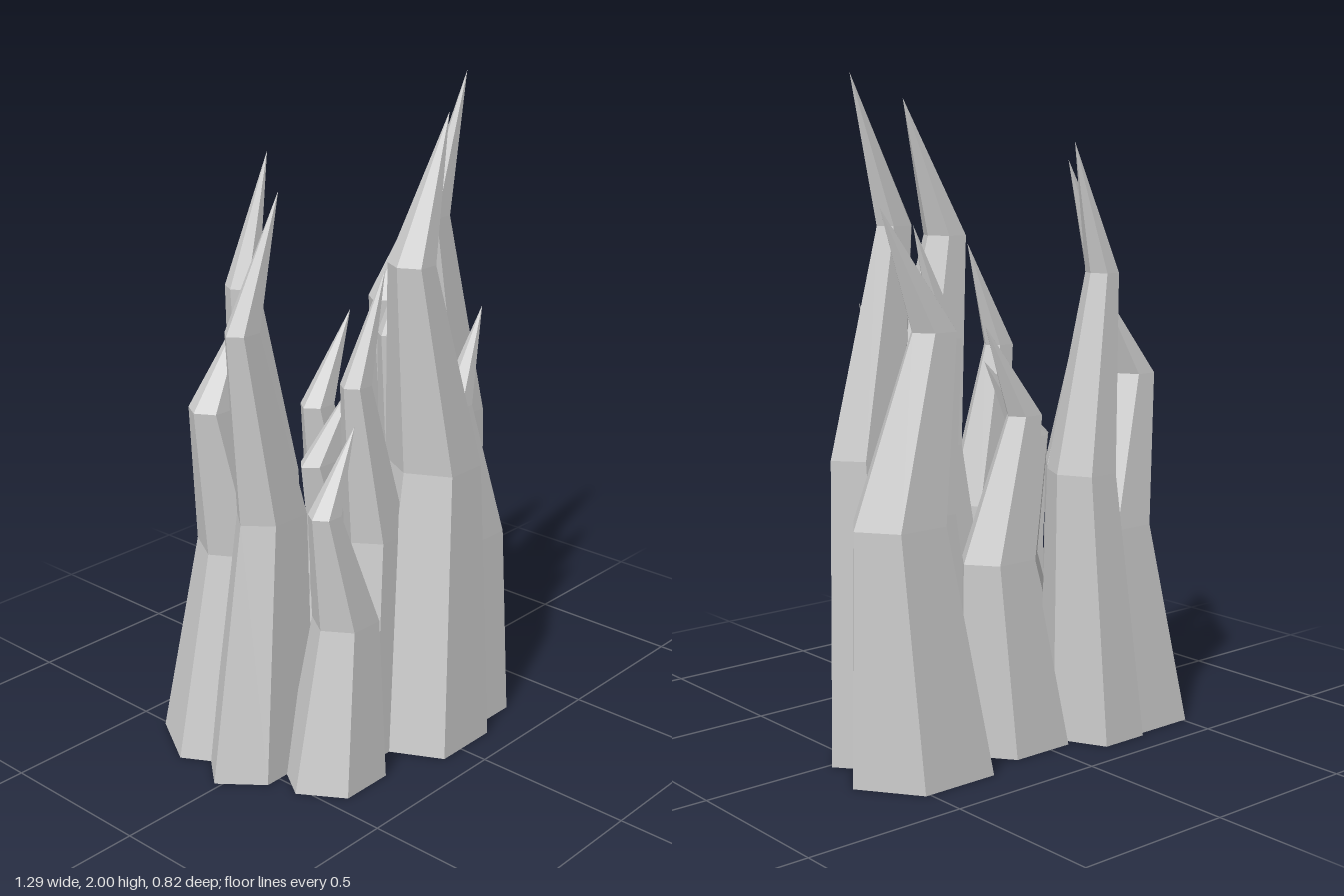
import * as THREE from 'three';

// Cross-sections of one unit blade, root to tip: [radius, height, sideways shift]
const RINGS = [
  [1, 0, 0],
  [0.64, 0.455, 0.31],
  [0.31, 0.785, -0.2],
  [0, 1, 0.55],
];

// Blades: [x, z, half width, half depth, height]
const BLADES = [
  // back row
  [-0.402, -0.206, 0.216, 0.218, 1.4],
  [-0.225, -0.257, 0.155, 0.178, 1.81],
  [0.03, -0.185, 0.205, 0.158, 1.28],
  [0.39, -0.195, 0.25, 0.202, 1.63],
  // middle row
  [-0.447, -0.02, 0.203, 0.145, 1.755],
  [-0.13, -0.02, 0.25, 0.145, 1.15],
  [0.187, -0.02, 0.165, 0.145, 1.57],
  [0.383, -0.016, 0.203, 0.146, 2.0],
  // front row
  [-0.357, 0.2, 0.17, 0.154, 1.09],
  [-0.14, 0.125, 0.17, 0.145, 1.5],
  [0.026, 0.2, 0.214, 0.238, 1.94],
  [0.22, 0.207, 0.163, 0.17, 1.33],
];

// Six-sided tapering blade, open at the root, bent by shifting each ring
function bladeGeometry() {
  const profile = RINGS.map(([r, y]) => new THREE.Vector2(r, y));
  const lathe = new THREE.LatheGeometry(profile, 6, Math.PI / 2);
  const pos = lathe.attributes.position;
  for (let i = 0; i < pos.count; i++) {
    pos.setX(i, pos.getX(i) + RINGS[i % RINGS.length][2]);
  }
  return lathe.toNonIndexed();
}

export function createModel() {
  const group = new THREE.Group();
  group.name = 'grassTuft';

  const grey = new THREE.MeshStandardMaterial({
    color: 0xcccccc,
    flatShading: true,
    side: THREE.DoubleSide,
  });
  grey.name = 'light grey';

  const unit = bladeGeometry();
  BLADES.forEach(([x, z, w, d, h], i) => {
    const geometry = unit.clone().scale(w, h, d);
    geometry.computeVertexNormals();
    const blade = new THREE.Mesh(geometry, grey);
    blade.name = `blade${i + 1}`;
    blade.position.set(x, 0, z);
    group.add(blade);
  });

  return group;
}
